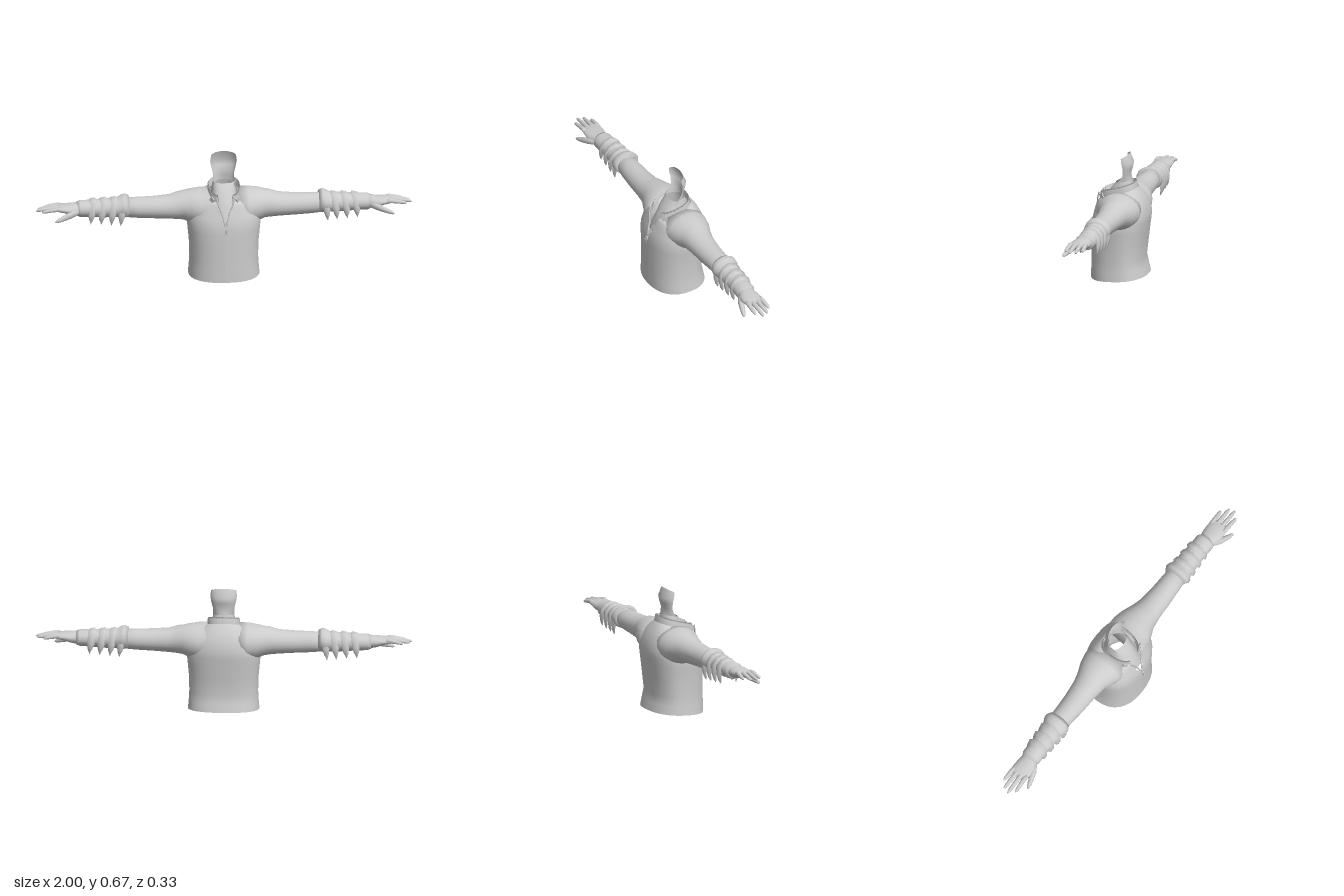
import * as THREE from 'three';

const material = new THREE.MeshStandardMaterial({ color: 0xcccccc, side: THREE.DoubleSide });

// Skin a list of rings (each a list of [x, y, z]); closed joins each ring's ends, cap seals the ends
function loft(name, rings, closed = true, cap = false) {
  const n = rings[0].length, pos = rings.flat(2), index = [];
  const quads = closed ? n : n - 1;
  for (let i = 0; i < rings.length - 1; i++) {
    for (let j = 0; j < quads; j++) {
      const a = i * n + j, b = i * n + (j + 1) % n;
      index.push(a, b, a + n, b, b + n, a + n);
    }
  }
  if (cap) {
    [0, rings.length - 1].forEach((r, end) => {
      const c = pos.length / 3;
      pos.push(...[0, 1, 2].map(k => rings[r].reduce((s, p) => s + p[k], 0) / n));
      for (let j = 0; j < n; j++) {
        const a = r * n + j, b = r * n + (j + 1) % n;
        index.push(...(end ? [a, b, c] : [b, a, c]));
      }
    });
  }
  const geometry = new THREE.BufferGeometry();
  geometry.setAttribute('position', new THREE.Float32BufferAttribute(pos, 3));
  geometry.setIndex(index);
  geometry.computeVertexNormals();
  const mesh = new THREE.Mesh(geometry, material);
  mesh.name = name;
  return mesh;
}

// Upright section: y, half width, front z, back z, half gap at the front, tilt (back rises when negative)
function uprightRing([y, w, front, back, gap = 0, tilt = 0], n = 32) {
  const ring = [], zc = -0.015;
  for (let j = 0; j <= n; j++) {
    const t = gap + (2 * Math.PI - 2 * gap) * j / n;
    const c = Math.cos(t), s = Math.sin(t);
    const z = zc + (c > 0 ? front - zc : zc - back) * Math.sign(c) * Math.abs(c) ** 0.85;
    ring.push([w * Math.sign(s) * Math.abs(s) ** 0.85, y + tilt * z / 0.1, z]);
  }
  return ring;
}

// Section across the arm: x, centre y, half height, centre z, half depth
function armRing([x, y, ry, z, rz], n = 18) {
  return Array.from({ length: n }, (_, j) => {
    const t = 2 * Math.PI * j / n;
    return [x, y + ry * Math.cos(t), z + rz * Math.sin(t)];
  });
}
const limb = (name, sections, n = 18) => loft(name, sections.map(s => armRing(s, n)), true, true);

// Pointed band draped over the glove, its two ends hanging down as spikes
function drapedBand(x, size) {
  const side = [[0.302, 0.05, 0.001], [0.325, 0.057, 0.012], [0.36, 0.06, 0.02], [0.4, 0.054, 0.025], [0.427, 0.032, 0.027]];
  const half = side.map(([y, z, w]) => [0.385 + (y - 0.385) * size, z * size, w]);
  const path = [...half.map(([y, z, w]) => [y, -z, w]), [0.385 + 0.053 * size, 0, 0.028],
    ...half.slice().reverse()];
  const rings = path.map(([y, z, w]) => {
    const lean = (0.44 - y) * 0.12, puff = w * 0.4;
    const out = new THREE.Vector2(y - 0.375, z).normalize();
    const at = (dx, r) => [x + dx + lean, y + out.x * r, z - 0.02 + out.y * r];
    return [at(w, -0.008), at(w * 0.5, puff * 0.5), at(-w * 0.4, puff), at(-w, -0.008)];
  });
  return loft('gloveSpikeBand', rings, false);
}

function createArm() {
  const arm = new THREE.Group();
  arm.name = 'arm';
  arm.add(limb('sleeve', [
    [0.07, 0.385, 0.095, -0.02, 0.12], [0.13, 0.38, 0.1, -0.022, 0.118], [0.18, 0.384, 0.09, -0.026, 0.102],
    [0.215, 0.388, 0.078, -0.026, 0.087], [0.245, 0.388, 0.074, -0.022, 0.08], [0.29, 0.383, 0.065, -0.02, 0.071],
    [0.38, 0.382, 0.059, -0.017, 0.064], [0.46, 0.383, 0.056, -0.018, 0.059], [0.55, 0.385, 0.05, -0.02, 0.054],
  ], 24));

  // Glove gauntlet with a flared rim
  arm.add(limb('gloveCuff', [
    [0.52, 0.39, 0.05, -0.02, 0.052], [0.505, 0.393, 0.056, -0.02, 0.062], [0.525, 0.395, 0.063, -0.02, 0.073],
    [0.545, 0.391, 0.061, -0.02, 0.072], [0.57, 0.386, 0.052, -0.02, 0.06], [0.64, 0.385, 0.05, -0.018, 0.056],
    [0.71, 0.385, 0.045, -0.016, 0.052], [0.765, 0.386, 0.044, -0.014, 0.054], [0.785, 0.386, 0.036, -0.013, 0.042],
  ]));
  [0.535, 0.585, 0.64, 0.695].forEach((x, i) => arm.add(drapedBand(x, 1.06 - i * 0.05)));

  // Hand
  arm.add(limb('palm', [
    [0.75, 0.386, 0.034, -0.013, 0.04], [0.785, 0.387, 0.034, -0.01, 0.046], [0.815, 0.388, 0.03, -0.006, 0.054],
    [0.85, 0.393, 0.022, -0.006, 0.054], [0.885, 0.395, 0.016, -0.007, 0.05], [0.895, 0.394, 0.01, -0.007, 0.045],
  ]));
  const fingers = [[0.035, 0.97], [0.008, 1], [-0.02, 0.99], [-0.046, 0.955]];
  fingers.forEach(([z, tip]) => {
    const base = 0.865, at = k => base + (tip - base) * k;
    arm.add(limb('finger', [
      [at(0), 0.398, 0.011, z, 0.012], [at(0.2), 0.4, 0.013, z, 0.0125], [at(0.5), 0.396, 0.011, z * 1.04, 0.0115],
      [at(0.8), 0.391, 0.009, z * 1.08, 0.01], [at(0.95), 0.388, 0.007, z * 1.1, 0.007], [tip, 0.387, 0.002, z * 1.1, 0.003],
    ], 10));
  });
  arm.add(limb('thumb', [
    [0.775, 0.382, 0.02, 0.015, 0.02], [0.81, 0.372, 0.021, 0.037, 0.02], [0.845, 0.36, 0.017, 0.051, 0.016],
    [0.875, 0.35, 0.013, 0.061, 0.013], [0.895, 0.344, 0.009, 0.067, 0.009], [0.903, 0.341, 0.003, 0.069, 0.003],
  ], 10));
  return arm;
}

export function createModel() {
  const model = new THREE.Group();
  model.name = 'jacketFigure';

  // Jacket body, open at the hem and along the unzipped throat
  const body = [
    [0.011, 0.19, 0.148, -0.155, 0, -0.006], [0.06, 0.186, 0.148, -0.145, 0, -0.002], [0.11, 0.183, 0.147, -0.133],
    [0.2, 0.186, 0.147, -0.144], [0.27, 0.193, 0.146, -0.152], [0.315, 0.197, 0.144, -0.158],
    [0.355, 0.19, 0.132, -0.162, 0.08], [0.4, 0.172, 0.118, -0.15, 0.15, -0.004],
    [0.43, 0.15, 0.112, -0.133, 0.22, -0.01], [0.452, 0.12, 0.107, -0.112, 0.3, -0.02],
    [0.465, 0.088, 0.103, -0.096, 0.36, -0.03],
  ];
  model.add(loft('jacketBody', body.map(r => uprightRing(r)), false));

  // Standing collar with a folded rim
  const collar = [
    [0.455, 0.088, 0.104, -0.094, 0.36, -0.03], [0.495, 0.086, 0.107, -0.088, 0.42, -0.03],
    [0.503, 0.081, 0.1, -0.083, 0.43, -0.03], [0.46, 0.077, 0.094, -0.082, 0.4, -0.03],
  ];
  model.add(loft('collar', collar.map(r => uprightRing(r)), false));

  // Skin of the throat behind the open zip
  const throat = [
    [0.33, 0.1, 0.118, -0.12], [0.39, 0.08, 0.098, -0.1], [0.44, 0.07, 0.078, -0.085, 0, -0.01],
    [0.49, 0.062, 0.05, -0.07, 0, -0.02], [0.522, 0.056, 0.02, -0.064, 0, -0.02],
  ];
  model.add(loft('throat', throat.map(r => uprightRing(r)), false));

  // Hollow shell at the back of the neck and head: y at edge, y at back, half width, edge z, back z
  const shell = [
    [0.5, 0.515, 0.058, 0.02, -0.064], [0.54, 0.54, 0.056, -0.018, -0.062], [0.565, 0.565, 0.057, -0.028, -0.057],
    [0.6, 0.595, 0.066, -0.03, -0.066], [0.63, 0.625, 0.071, -0.025, -0.073], [0.658, 0.675, 0.067, -0.02, -0.051],
  ];
  model.add(loft('headShell', shell.map(([ye, yb, w, ze, zb]) => Array.from({ length: 17 }, (_, j) => {
    const t = Math.PI * (0.5 - j / 16), c = Math.cos(t);
    return [w * Math.sin(t), ye + (yb - ye) * c, ze + (zb - ze) * c];
  })), false));

  // Lapel edges running from the collar down to the zip, and the collar tabs
  for (const side of [1, -1]) {
    const edge = [[0, 0.305, 0.148], [0.012, 0.355, 0.135], [0.026, 0.4, 0.119], [0.04, 0.43, 0.113], [0.047, 0.462, 0.104]];
    const curve = new THREE.CatmullRomCurve3(edge.map(([x, y, z]) => new THREE.Vector3(x * side, y, z)));
    const lapel = new THREE.Mesh(new THREE.TubeGeometry(curve, 16, 0.004, 6), material);
    lapel.name = 'lapelEdge';
    model.add(lapel);

    const tab = new THREE.Mesh(new THREE.BoxGeometry(0.028, 0.032, 0.006), material);
    tab.name = 'collarTab';
    tab.position.set(side * 0.07, 0.447, 0.083);
    tab.rotation.set(0, side * 0.9, side * 0.6);
    model.add(tab);
  }

  // Zip slider and hanging pull
  const zip = new THREE.Group();
  zip.name = 'zipPull';
  [[0.012, 0.016, 0.008, 0.303, 0.152, 0], [0.009, 0.024, 0.003, 0.289, 0.159, -0.35]].forEach(([w, h, d, y, z, tilt]) => {
    const piece = new THREE.Mesh(new THREE.BoxGeometry(w, h, d), material);
    piece.position.set(0, y, z);
    piece.rotation.x = -tilt;
    zip.add(piece);
  });
  model.add(zip);

  const leftArm = createArm(), rightArm = createArm();
  leftArm.name = 'leftArm';
  rightArm.name = 'rightArm';
  rightArm.scale.x = -1;
  model.add(leftArm, rightArm);
  return model;
}
